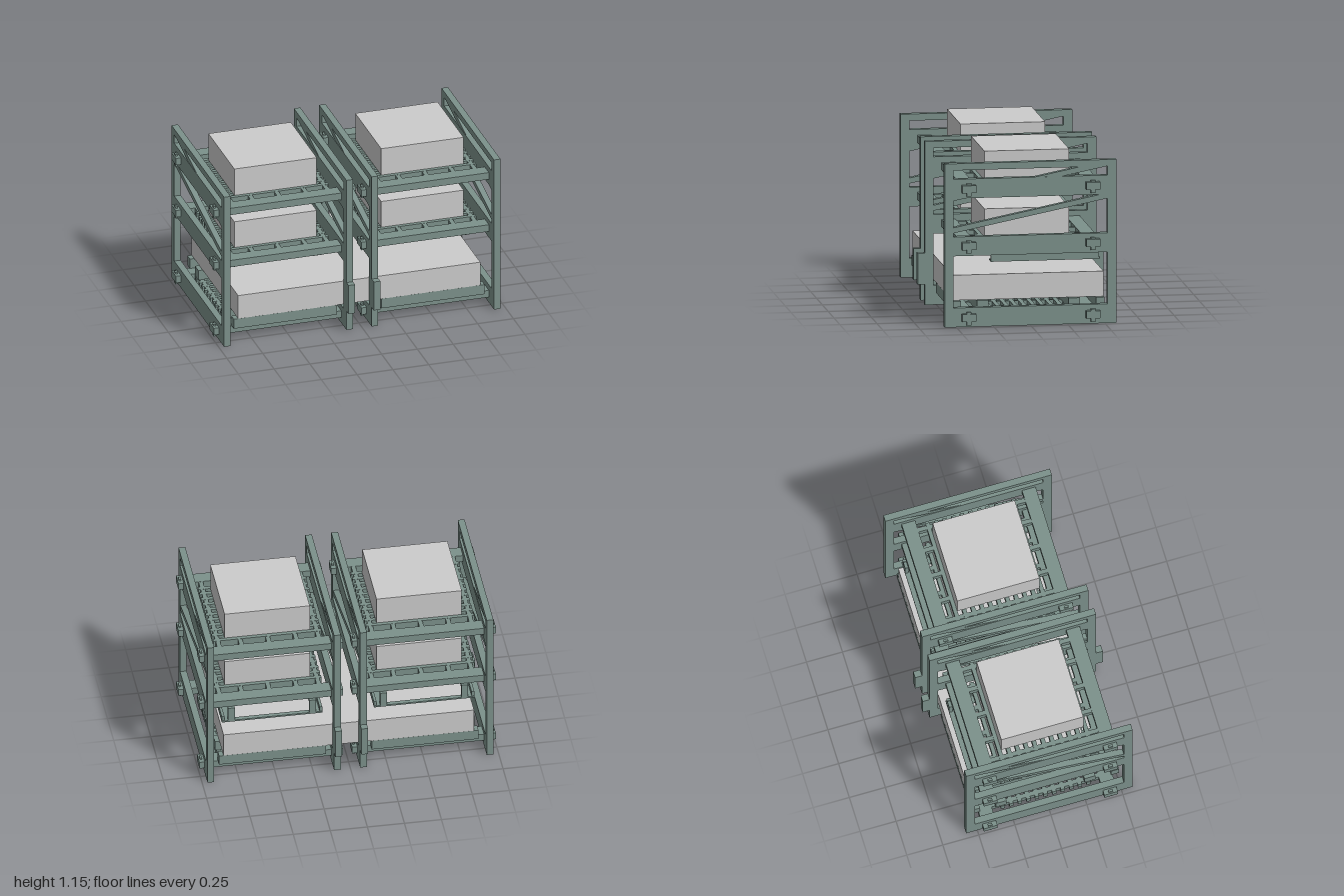
import * as THREE from 'three';

export function createModel() {
  const model = new THREE.Group();
  const frameMat = new THREE.MeshStandardMaterial({ color: 0x7c918b });
  const greyMat = new THREE.MeshStandardMaterial({ color: 0xcccccc });

  // Box given by its extents on each axis
  function block(parent, name, x, y, z, mat = frameMat) {
    const mesh = new THREE.Mesh(new THREE.BoxGeometry(x[1] - x[0], y[1] - y[0], z[1] - z[0]), mat);
    mesh.position.set((x[0] + x[1]) / 2, (y[0] + y[1]) / 2, (z[0] + z[1]) / 2);
    mesh.name = name;
    parent.add(mesh);
    return mesh;
  }
  const around = (c, w) => [c - w / 2, c + w / 2];

  // Side frame: posts, wide rails, a top bar and two sloping braces
  function sideFrame(parent, x, inner) {
    const frame = new THREE.Group();
    frame.name = inner ? 'innerSideFrame' : 'outerSideFrame';
    const xs = around(x, 0.045);
    for (const s of [-1, 1]) {
      block(frame, 'post', xs, [0, 1.105], around(s * 0.5475, 0.06));
      if (inner) block(frame, 'postTab', xs, [0.14, 0.35], around(s * 0.601, 0.048));
    }
    for (const y of [0, 0.48, 0.87]) block(frame, 'rail', xs, [y, y + 0.13], [-0.518, 0.518]);
    block(frame, 'topBar', xs, [1.06, 1.105], [-0.518, 0.518]);
    for (const y of [0.635, 0.853]) {
      const shape = new THREE.Shape([
        new THREE.Vector2(-0.518, y), new THREE.Vector2(0.518, y + 0.208),
        new THREE.Vector2(0.518, y + 0.245), new THREE.Vector2(-0.518, y + 0.037),
      ]);
      const geo = new THREE.ExtrudeGeometry(shape, { depth: 0.04, bevelEnabled: false });
      geo.translate(0, 0, -0.02).rotateY(Math.PI / 2);
      const brace = new THREE.Mesh(geo, frameMat);
      brace.position.x = x;
      brace.name = 'brace';
      frame.add(brace);
    }
    parent.add(frame);
  }

  // Slatted deck with tenons that pass through the side frames and are pegged
  function deck(parent, y) {
    const g = new THREE.Group();
    g.name = 'deck';
    const ys = [y, y + 0.05];
    for (const s of [-1, 1]) {
      block(g, 'deckRail', [0.03, 1], ys, around(s * 0.418, 0.094));
      for (const x of [0.046, 0.984]) block(g, 'peg', around(x, 0.015), [y - 0.025, y + 0.062], around(s * 0.418, 0.03));
    }
    for (let i = -5; i <= 5; i++) block(g, 'slat', [0.15, 0.88], ys, around(i * 0.0595, 0.028));
    for (const x of [0.18, 0.33, 0.515, 0.7, 0.85]) block(g, 'bearer', around(x, 0.03), [y + 0.001, y + 0.049], [-0.371, 0.371]);
    parent.add(g);
  }

  // Open tray frame hung beneath the middle deck
  function hangingFrame(parent) {
    const g = new THREE.Group();
    g.name = 'hangingFrame';
    for (const s of [-1, 1]) {
      const c = 0.513;
      block(g, 'runnerLip', around(c + s * 0.33, 0.018), [0.415, 0.46], [-0.48, 0.25]);
      block(g, 'runnerFloor', around(c + s * 0.296, 0.05), [0.415, 0.425], [-0.48, 0.25]);
      block(g, 'hanger', around(c + s * 0.274, 0.045), [0.42, 0.525], [-0.486, -0.462]);
    }
    block(g, 'crossBar', [0.175, 0.85], [0.415, 0.426], [-0.486, -0.455]);
    parent.add(g);
  }

  // The two bays are mirror images
  for (const side of [1, -1]) {
    const bay = new THREE.Group();
    bay.name = side > 0 ? 'leftBay' : 'rightBay';
    // symmetric boxes let each bay be built with its own x positions
    sideFrame(bay, 0.088, true);
    sideFrame(bay, 0.942, false);
    for (const y of [0.04, 0.525, 0.91]) deck(bay, y);
    hangingFrame(bay);
    for (const s of [-1, 1]) {
      block(bay, 'loadSupport', [0.155, 0.875], [0.09, 0.16], around(s * 0.483, 0.055));
      block(bay, 'innerLoadSupport', [0.155, 0.875], [0.09, 0.16], around(s * 0.308, 0.075));
    }
    block(bay, 'middleLoad', [0.225, 0.8], [0.575, 0.765], [-0.285, 0.285], greyMat);
    block(bay, 'topLoad', [0.225, 0.8], [0.96, 1.155], [-0.285, 0.285], greyMat);
    if (side < 0) bay.children.forEach(function flip(o) {
      if (o.isMesh) o.position.x *= -1;
      o.children.forEach(flip);
    });
    model.add(bay);
  }

  // Long bottom load and the ties that join the bays
  block(model, 'bottomLoad', [-0.845, 0.845], [0.16, 0.33], [-0.51, 0.51], greyMat);
  for (const s of [-1, 1]) {
    block(model, 'bayTie', [-0.13, 0.13], [0.14, 0.158], around(s * 0.308, 0.075));
    for (const x of [-0.125, 0.125]) block(model, 'tieEnd', around(x, 0.018), [0.132, 0.159], around(s * 0.308, 0.075));
  }
  return model;
}
